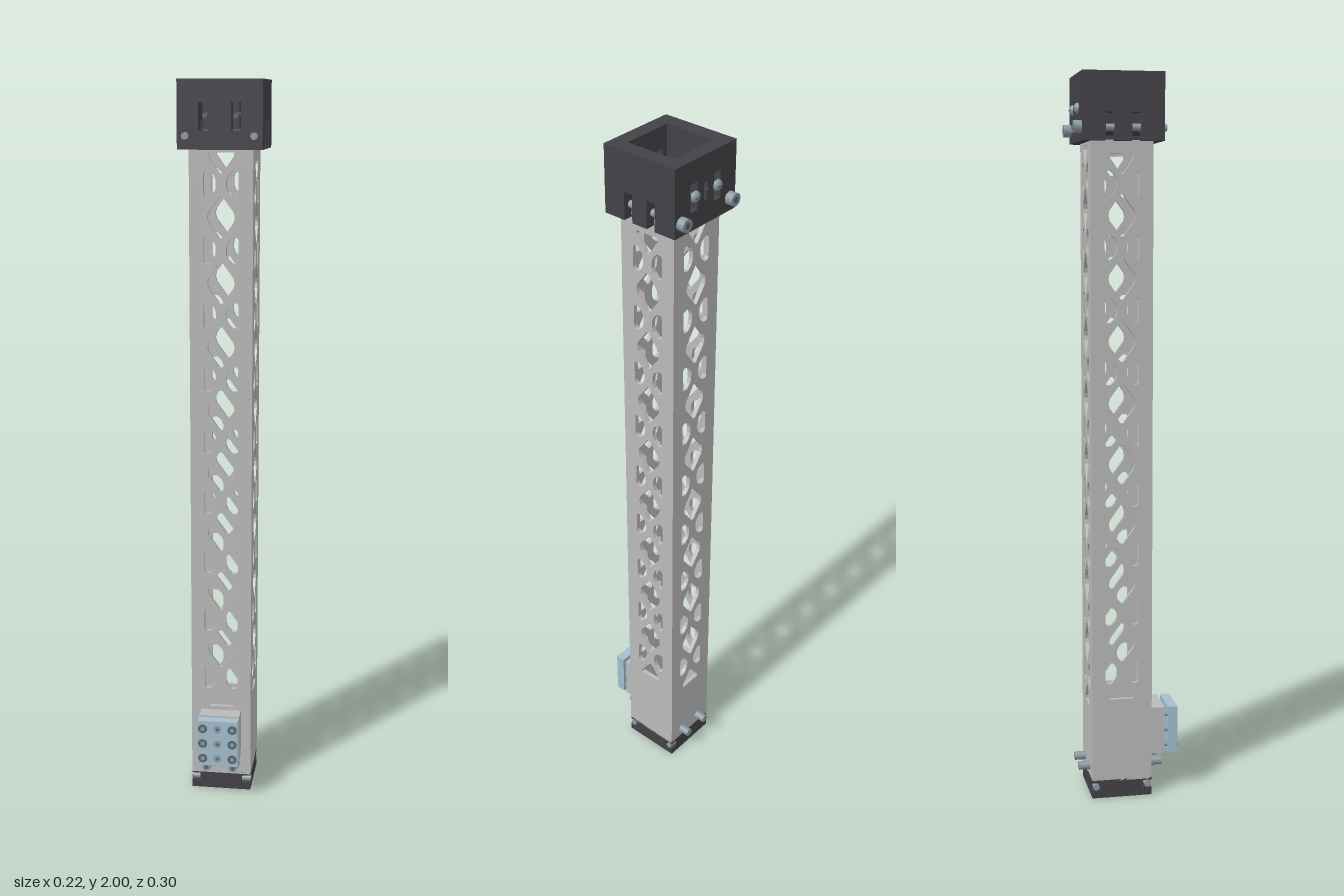
import * as THREE from 'three';

const mat = (name, color) => {
  const m = new THREE.MeshStandardMaterial({ color });
  m.name = name;
  return m;
};

export function createModel() {
  const alloy = mat('light alloy', 0xbababa);
  const dark = mat('dark plastic', 0x434147);
  const blue = mat('pale blue', 0xa3bfce);
  const steel = mat('steel', 0x8d9aa2);
  const darkSteel = mat('dark steel', 0x566670);

  const root = new THREE.Group();
  const cz = -0.018; // centre of the column in z

  function add(parent, name, geo, material, x = 0, y = 0, z = 0) {
    const m = new THREE.Mesh(geo, material);
    m.name = name;
    m.position.set(x, y, z);
    parent.add(m);
    return m;
  }
  const box = (p, name, m, w, h, d, x, y, z) => add(p, name, new THREE.BoxGeometry(w, h, d), m, x, y, z);
  // cylinder lying along z (or x) between two ends
  function rod(p, name, m, r, x, y, z0, z1, sides = 20) {
    const g = new THREE.CylinderGeometry(r, r, Math.abs(z1 - z0), sides).rotateX(Math.PI / 2);
    return add(p, name, g, m, x, y, (z0 + z1) / 2);
  }
  const path = (pts) => pts.map(([x, y]) => new THREE.Vector2(x, y));
  const rect = (x, y0, y1, w) => [[x - w / 2, y0], [x + w / 2, y0], [x + w / 2, y1], [x - w / 2, y1]];

  // upright plate: outline and holes in wall coordinates, outer face at distance d from the axis
  function wall(p, name, material, outline, holes, thick, d, angle) {
    const s = new THREE.Shape(path(outline));
    holes.forEach((h) => s.holes.push(new THREE.Path(path(h))));
    const g = new THREE.ExtrudeGeometry(s, { depth: thick, bevelEnabled: false, curveSegments: 4 });
    g.translate(0, 0, d - thick).rotateY(angle);
    return add(p, name, g, material, 0, 0, cz);
  }

  // ---- lattice column ----
  function latticeHoles(first, period, top, bottom) {
    const holes = [];
    for (let i = 0; i < 9; i++) {
      const y = first + i * period;
      for (const s of [-1, 1]) {
        holes.push([[0.014, -0.010], [0.019, -0.022], [0.031, -0.034], [0.043, -0.034], [0.047, -0.027],
          [0.047, 0.027], [0.043, 0.034], [0.031, 0.034], [0.019, 0.022], [0.014, 0.010]]
          .map(([a, b]) => [a * s, y + b]));
      }
      if (i < 8) {
        const c = y + period / 2;
        holes.push([[0.004, 0.055], [0.012, 0.043], [0.034, 0.013], [0.037, 0], [0.034, -0.013], [0.012, -0.043],
          [0.004, -0.055], [-0.004, -0.055], [-0.012, -0.043], [-0.034, -0.013], [-0.037, 0], [-0.034, 0.013],
          [-0.012, 0.043], [-0.004, 0.055]].map(([a, b]) => [a, c + b]));
      }
    }
    // half diamonds closing both ends
    for (const [y, s] of [[top, -1], [bottom, 1]]) {
      holes.push([[-0.034, y], [0.034, y], [0.034, y + s * 0.009], [0.004, y + s * 0.053],
        [-0.004, y + s * 0.053], [-0.034, y + s * 0.009]]);
    }
    return holes;
  }
  const column = new THREE.Group();
  column.name = 'latticeColumn';
  root.add(column);
  const frontHoles = latticeHoles(0.347, 0.1733, 1.814, 0.257);
  const sideHoles = latticeHoles(0.368, 0.168, 1.79, 0.288);
  const T = 0.012;
  for (let i = 0; i < 4; i++) {
    const side = i % 2 === 1;
    const h = side ? 0.085 - T : 0.085;
    wall(column, ['front', 'left', 'back', 'right'][i] + 'LatticeWall', alloy,
      [[-h, 0.048], [h, 0.048], [h, 1.825], [-h, 1.825]], side ? sideHoles : frontHoles, T, 0.085, i * Math.PI / 2);
  }

  // ---- top housing ----
  const housing = new THREE.Group();
  housing.name = 'topHousing';
  root.add(housing);
  // outline with two slots open at the bottom
  const notched = (h, y0, y1, slotTop) => [[-h, y0], [-0.048, y0], [-0.048, slotTop], [-0.023, slotTop], [-0.023, y0],
    [0.023, y0], [0.023, slotTop], [0.048, slotTop], [0.048, y0], [h, y0], [h, y1], [-h, y1]];
  const plain = (h, y0, y1) => [[-h, y0], [h, y0], [h, y1], [-h, y1]];
  const windows = [rect(-0.043, 1.87, 1.942, 0.026), rect(0.043, 1.87, 1.942, 0.026)];
  const backWindows = [...windows, rect(0, 1.885, 1.93, 0.014)];
  for (let i = 0; i < 4; i++) {
    const side = i % 2 === 1;
    const a = i * Math.PI / 2;
    const d = side ? 0.112 : 0.11;
    const name = ['front', 'left', 'back', 'right'][i] + 'Housing';
    const holes = side ? [] : i === 2 ? backWindows : windows;
    const outline = side ? notched : plain;
    wall(housing, name + 'Wall', dark, outline(side ? 0.084 : 0.112, 1.822, 2, 1.895), holes, 0.026, d, a);
    wall(housing, name + 'Lining', dark, outline(side ? 0.071 : 0.086, 1.86, 2, 1.895), holes, d - 0.026 - 0.071, d - 0.026, a);
  }
  // floor of the socket with a cable hole
  function drilledPlate(p, name, w, d, y0, y1) {
    const s = new THREE.Shape(path([[-w / 2, -d / 2], [w / 2, -d / 2], [w / 2, d / 2], [-w / 2, d / 2]]));
    s.holes.push(new THREE.Path().absarc(0, 0, 0.012, 0, Math.PI * 2, true));
    const g = new THREE.ExtrudeGeometry(s, { depth: y1 - y0, bevelEnabled: false, curveSegments: 16 });
    return add(p, name, g.rotateX(-Math.PI / 2), dark, 0, y0, cz);
  }
  drilledPlate(housing, 'socketFloor', 0.172, 0.168, 1.846, 1.861);
  // sloped fillet around the floor
  const fillet = new THREE.CylinderGeometry(0.0715 * Math.SQRT2, 0.063 * Math.SQRT2, 0.009, 4, 1, true)
    .rotateY(Math.PI / 4).toNonIndexed();
  fillet.computeVertexNormals();
  const filletMat = mat('dark plastic', 0x434147);
  filletMat.side = THREE.DoubleSide;
  add(housing, 'socketFillet', fillet, filletMat, 0, 1.8655, cz);
  box(housing, 'backCatch', dark, 0.012, 0.012, 0.014, 0, 1.907, -0.128);

  // clamp bolts through the side walls, and pan-head screws at the back
  for (const s of [-1, 1]) {
    rod(housing, 'clampBoltShaft', steel, 0.0095, s * 0.09, 1.857, -0.13, 0.101);
    rod(housing, 'clampBoltHead', steel, 0.017, s * 0.09, 1.857, -0.149, -0.128);
    rod(housing, 'clampBoltSocket', darkSteel, 0.009, s * 0.09, 1.857, -0.1495, -0.148, 6);
    rod(housing, 'backScrewShaft', darkSteel, 0.007, s * 0.041, 1.908, -0.13, 0.08);
    const dome = new THREE.LatheGeometry(path([[0.015, 0], [0.013, 0.006], [0.007, 0.01], [0, 0.011]]), 20)
      .rotateX(-Math.PI / 2);
    add(housing, 'backScrewHead', dome, steel, s * 0.041, 1.908, -0.129);
    box(housing, 'backScrewSlot', darkSteel, 0.018, 0.003, 0.003, s * 0.041, 1.908, -0.1385);
  }

  // ---- foot ----
  const foot = new THREE.Group();
  foot.name = 'foot';
  root.add(foot);
  drilledPlate(foot, 'footBase', 0.17, 0.17, 0, 0.022);
  drilledPlate(foot, 'footMiddle', 0.17, 0.12, 0.022, 0.044);
  drilledPlate(foot, 'footTop', 0.17, 0.17, 0.044, 0.052);
  for (const f of [-1, 1]) {
    box(foot, 'footTongue', dark, 0.122, 0.022, 0.025, 0, 0.033, cz + f * 0.0725);
    for (const s of [-1, 1]) {
      const screw = new THREE.CylinderGeometry(0.009, 0.009, 0.026, 16).rotateZ(Math.PI / 2);
      add(foot, 'footScrew', screw, steel, s * 0.073, 0.032, cz + f * 0.0735);
    }
  }

  // ---- pins through the lower column ----
  for (const s of [-1, 1]) {
    rod(root, 'crossPin', steel, 0.012, s * 0.038, 0.082, -0.135, 0.104);
    rod(root, 'pinCollar', steel, 0.016, s * 0.038, 0.082, 0.066, 0.078);
    rod(root, 'pinRecess', darkSteel, 0.007, s * 0.038, 0.082, 0.103, 0.1045, 6);
  }

  // ---- terminal block on the front ----
  const block = new THREE.Group();
  block.name = 'terminalBlock';
  root.add(block);
  box(block, 'mountingBlock', alloy, 0.114, 0.136, 0.046, 0, 0.178, 0.088);
  box(block, 'facePlate', blue, 0.114, 0.136, 0.027, 0, 0.178, 0.1345);
  for (const y of [0.132, 0.177, 0.222]) {
    for (const s of [-1, 1]) {
      rod(block, 'spacer', steel, 0.007, s * 0.044, y, 0.11, 0.122, 12);
      rod(block, 'terminalRing', darkSteel, 0.013, s * 0.042, y, 0.147, 0.149);
      rod(block, 'terminalScrew', steel, 0.007, s * 0.042, y, 0.147, 0.15, 6);
    }
    rod(block, 'centreRing', steel, 0.011, 0, y, 0.147, 0.149);
    rod(block, 'centreHole', darkSteel, 0.005, 0, y, 0.147, 0.1495, 4);
  }
  return root;
}
